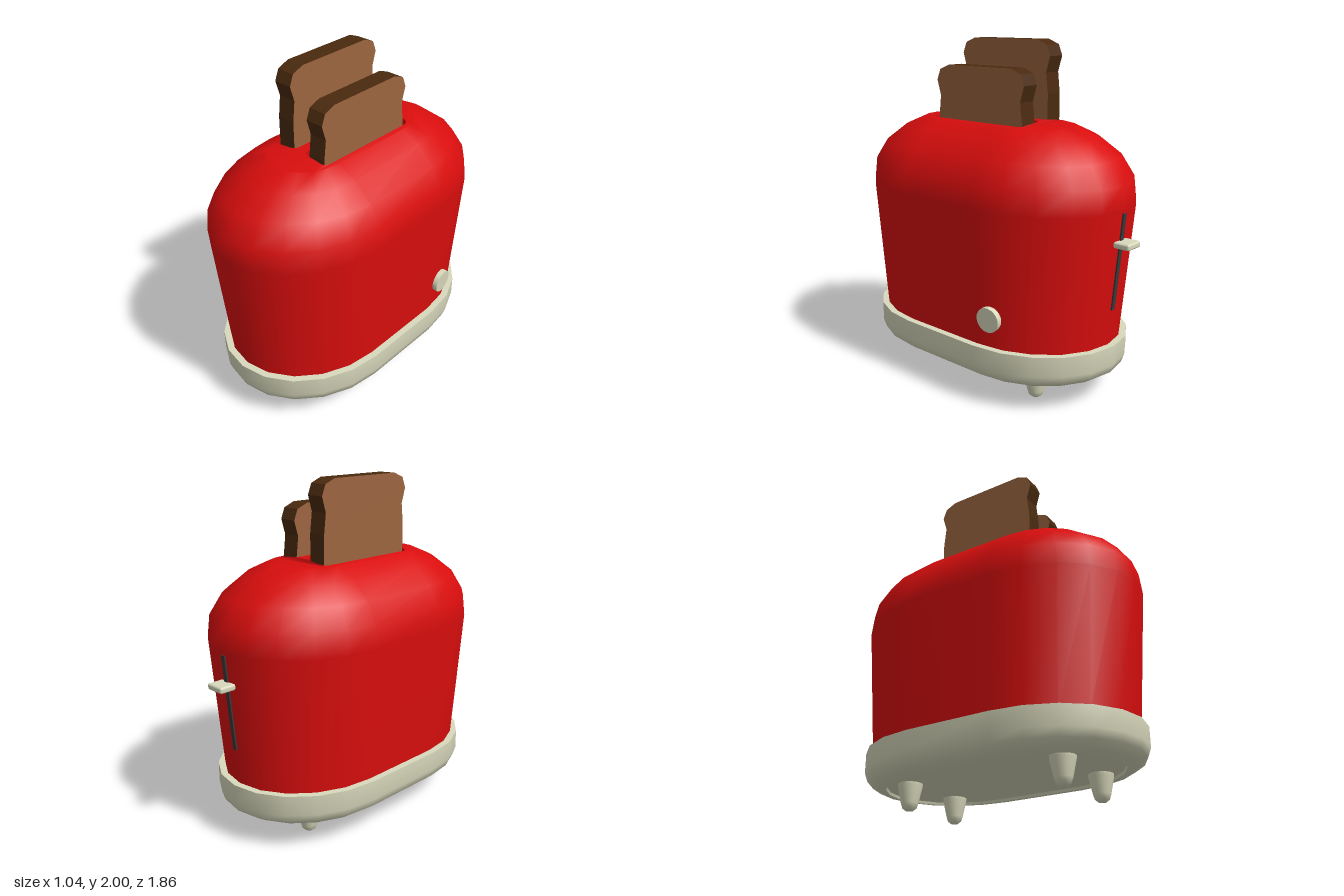
import * as THREE from 'three';
import { mergeGeometries, mergeVertices, toCreasedNormals } from 'three/addons/utils/BufferGeometryUtils.js';
import { RoundedBoxGeometry } from 'three/addons/geometries/RoundedBoxGeometry.js';

const paint = (color) => new THREE.MeshStandardMaterial({ color });
const STEPS = 5; // segments per rounded corner
const CORE = 0.265; // half length of the straight sides

// Horizontal ring: a rectangle (coreX, coreZ) rounded out to half sizes (hx, hz)
function ring(hx, hz, y, coreX = 0, coreZ = CORE, cx = 0) {
  const points = [];
  for (let q = 0; q < 4; q++) {
    const sx = q === 0 || q === 3 ? 1 : -1;
    const sz = q < 2 ? 1 : -1;
    for (let i = 0; i <= STEPS; i++) {
      const a = (q + i / STEPS) * Math.PI / 2;
      points.push(new THREE.Vector3(
        cx + sx * coreX + (hx - coreX) * Math.cos(a), y,
        sz * coreZ + (hz - coreZ) * Math.sin(a)));
    }
  }
  return points;
}

// Skin through rings; faces look outward when the rings go up, inward when they go down
function loft(rings) {
  const n = rings[0].length;
  const index = [];
  for (let i = 0; i < rings.length - 1; i++) {
    for (let j = 0; j < n; j++) {
      const a = i * n + j, b = i * n + (j + 1) % n;
      index.push(a, a + n, b, b, a + n, b + n);
    }
  }
  const g = new THREE.BufferGeometry().setFromPoints(rings.flat());
  g.setIndex(index);
  return mergeVertices(g);
}

// Height of the crown across the slots
const crownY = (x) => 1.535 + 0.025 * (1 - (x / 0.22) ** 2);
const slotRing = (cx, y) => ring(0.08, 0.345, y, 0.045, 0.31, cx);

function bodyGeometry() {
  const rim = ring(0.22, 0.53, 1.535);
  const side = loft([
    ring(0.475, 0.82, 0.34), ring(0.52, 0.895, 1.13), ring(0.505, 0.88, 1.26),
    ring(0.44, 0.8, 1.38), ring(0.33, 0.66, 1.48), rim,
  ]);
  // Crown with two openings, bulged slightly
  const flat = (points) => points.map((p) => new THREE.Vector2(p.x, -p.z));
  const shape = new THREE.Shape(flat(rim));
  for (const s of [-1, 1]) shape.holes.push(new THREE.Path(flat(slotRing(s * 0.112, 0))));
  const crown = new THREE.ShapeGeometry(shape).rotateX(-Math.PI / 2);
  const p = crown.attributes.position;
  for (let i = 0; i < p.count; i++) {
    const x = p.getX(i);
    const atSlot = Math.abs(x) < 0.2 && Math.abs(p.getZ(i)) < 0.36;
    p.setY(i, atSlot ? crownY(x) : 1.535);
  }
  crown.deleteAttribute('uv');
  crown.deleteAttribute('normal');
  const g = mergeVertices(mergeGeometries([side, crown]));
  g.computeVertexNormals();
  return g;
}

export function createModel() {
  const model = new THREE.Group();
  const red = paint(0xd90d0d), cream = paint(0xd9d9bd), dark = paint(0x3a3a3a);
  const bread = paint(0x9c6540), crust = paint(0x4a2a0f);

  const add = (name, geometry, material, x = 0, y = 0, z = 0) => {
    const mesh = new THREE.Mesh(geometry, material);
    mesh.name = name;
    mesh.position.set(x, y, z);
    model.add(mesh);
    return mesh;
  };

  // Housing and bread slots
  const midZ = 0.035;
  add('body', bodyGeometry(), red, 0, 0, midZ);
  for (const s of [-1, 1]) {
    const cx = s * 0.112;
    const top = slotRing(cx, 0);
    top.forEach((p) => { p.y = crownY(p.x); });
    const floor = ring(0, 0.3, 1.1, 0, 0.3, cx);
    add('breadSlot', toCreasedNormals(loft([top, slotRing(cx, 1.1), floor]), 0.9), red, 0, 0, midZ);
  }

  // Base tray with a recessed underside
  const base = loft([
    ring(0, CORE, 0.155), ring(0.385, 0.725, 0.155), ring(0.39, 0.73, 0.14),
    ring(0.45, 0.79, 0.15), ring(0.498, 0.842, 0.185), ring(0.515, 0.86, 0.235),
    ring(0.515, 0.86, 0.35), ring(0.46, 0.8, 0.35),
  ]);
  add('base', toCreasedNormals(base, 0.9), cream, 0, 0, midZ);

  // Feet
  const footProfile = [[0, 0], [0.022, 0.004], [0.04, 0.018], [0.049, 0.045], [0.07, 0.14], [0.071, 0.16]]
    .map(([r, y]) => new THREE.Vector2(r, y));
  const foot = new THREE.LatheGeometry(footProfile, 16);
  for (const x of [-0.2, 0.22]) for (const z of [-0.45, 0.54]) add('foot', foot, cream, x, 0, z);

  // Toast slices: half outline from top to bottom, mirrored
  const half = [[0.24, 0], [0.31, -0.028], [0.335, -0.09], [0.308, -0.18], [0.322, -0.3], [0.322, -0.66]];
  const outline = [...half, ...half.map(([z, y]) => [-z, y]).reverse()];
  const slice = new THREE.ExtrudeGeometry(
    new THREE.Shape(outline.map(([z, y]) => new THREE.Vector2(z, y))),
    { depth: 0.11, bevelEnabled: false });
  slice.translate(0, 0, -0.055).rotateY(Math.PI / 2);
  add('tallToast', slice, [bread, crust], -0.115, 2, midZ);
  add('shortToast', slice, [bread, crust], 0.11, 1.85, midZ);

  // Browning knob with a wedge-shaped pointer notch
  const dial = new THREE.Shape();
  dial.moveTo(0, 0);
  dial.absarc(0, 0, 0.072, 1.45, 1.05 + Math.PI * 2, false);
  const dialGeometry = new THREE.ExtrudeGeometry(dial, { depth: 0.025, bevelEnabled: false, curveSegments: 28 });
  const knob = new THREE.Group();
  knob.name = 'knob';
  const face = new THREE.Mesh(dialGeometry, cream);
  face.name = 'knobFace';
  face.position.z = 0.008;
  const back = new THREE.Mesh(new THREE.CylinderGeometry(0.07, 0.07, 0.03, 28).rotateX(Math.PI / 2), cream);
  back.name = 'knobBack';
  back.position.z = -0.006;
  knob.add(face, back);
  knob.rotation.set(0.058, Math.PI / 2 + 0.1, 0, 'YXZ');
  knob.position.set(0.472, 0.525, -0.33);
  model.add(knob);

  // Lever track and lever on the back wall
  const lean = Math.atan2(0.075, 0.79);
  const wallZ = (y) => midZ - 0.82 - 0.075 * (y - 0.34) / 0.79;
  const track = add('leverTrack', new THREE.BoxGeometry(0.028, 0.56, 0.012), dark, 0, 0.84, wallZ(0.84));
  track.rotation.x = -lean;
  add('lever', new RoundedBoxGeometry(0.12, 0.036, 0.1, 2, 0.012), cream, -0.003, 0.95, -0.88);

  return model;
}
